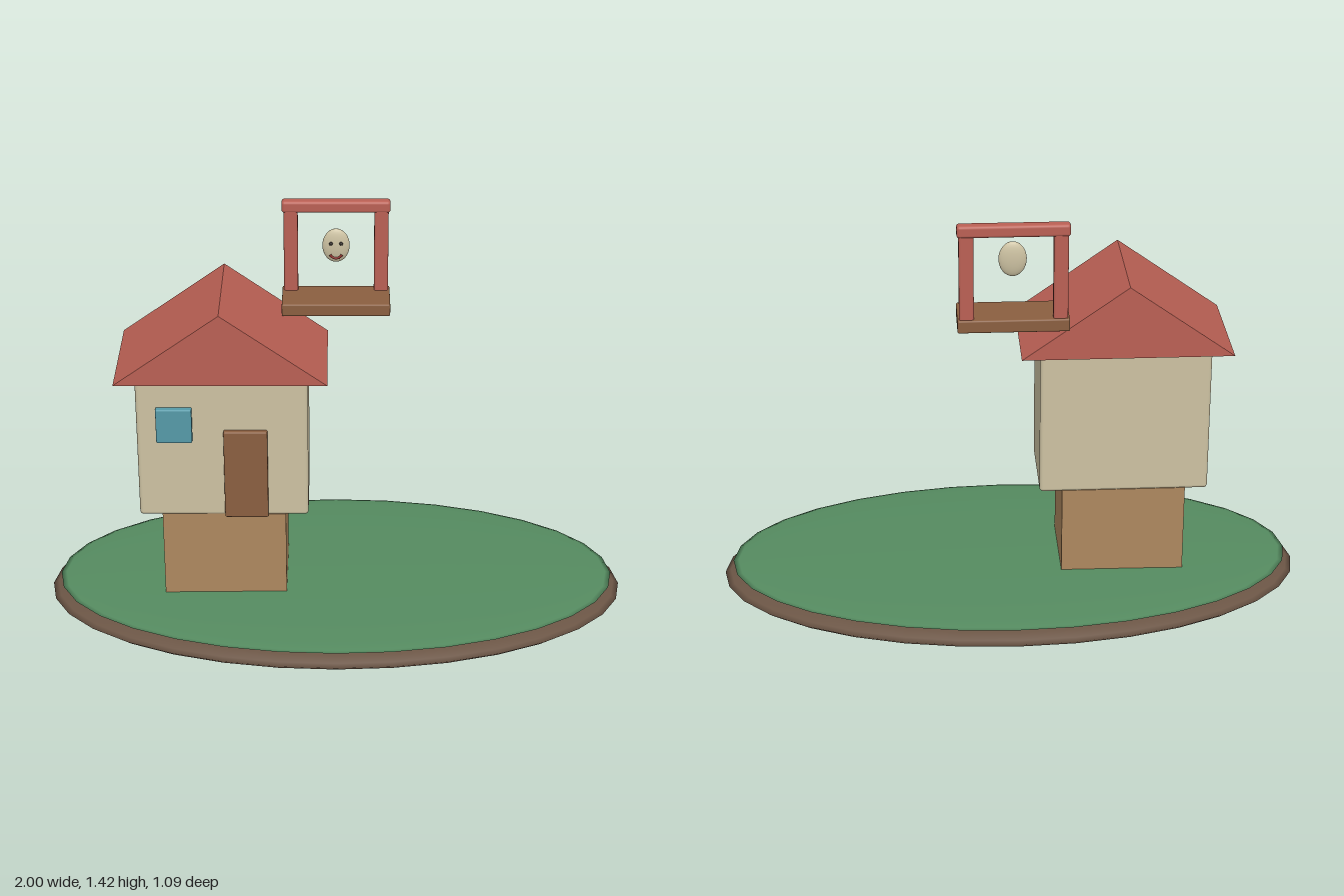
import * as THREE from 'three';
import { RoundedBoxGeometry } from 'three/addons/geometries/RoundedBoxGeometry.js';

const paint = (name, color) => {
  const m = new THREE.MeshStandardMaterial({ color });
  m.name = name;
  return m;
};

export function createModel() {
  const model = new THREE.Group();
  const soil = paint('soil brown', 0x6b5545);
  const grass = paint('grass green', 0x558b60);
  const timber = paint('light timber', 0xae885f);
  const plaster = paint('cream plaster', 0xcdc2a2);
  const red = paint('roof red', 0xba6054);
  const wood = paint('door wood', 0x8a5f40);
  const glass = paint('window blue', 0x559aa8);
  const dark = paint('eye dark', 0x2a2420);
  const lip = paint('mouth red', 0x8c332e);

  const add = (name, geometry, material, x, y, z, parent = model) => {
    const mesh = new THREE.Mesh(geometry, material);
    mesh.name = name;
    mesh.position.set(x, y, z);
    parent.add(mesh);
    return mesh;
  };
  // box given by its limits, with optionally rounded edges
  const box = (name, material, [x0, x1], [y0, y1], [z0, z1], r = 0, parent = model) => {
    const size = [x1 - x0, y1 - y0, z1 - z0];
    const geometry = r ? new RoundedBoxGeometry(...size, 3, r) : new THREE.BoxGeometry(...size);
    return add(name, geometry, material, (x0 + x1) / 2, (y0 + y1) / 2, (z0 + z1) / 2, parent);
  };
  const ellipsoid = (name, material, radii, x, y, z, parent = model) =>
    add(name, new THREE.SphereGeometry(1, 32, 16).scale(...radii), material, x, y, z, parent);

  // floating ground
  ellipsoid('soil', soil, [1, 0.06, 0.545], 0, 0.06, 0);
  ellipsoid('grass', grass, [0.97, 0.018, 0.525], 0, 0.105, 0);

  // house
  const house = new THREE.Group();
  house.name = 'house';
  model.add(house);
  box('foundation', timber, [-0.59, -0.17], [0.08, 0.43], [-0.157, 0.157], 0, house);
  box('walls', plaster, [-0.667, -0.093], [0.425, 0.947], [-0.157, 0.157], 0.013, house);
  box('door', wood, [-0.376, -0.229], [0.427, 0.752], [0.14, 0.177], 0.006, house);
  box('window', glass, [-0.6, -0.48], [0.712, 0.836], [0.14, 0.18], 0.005, house);

  // gable roof
  const gable = new THREE.Shape([
    new THREE.Vector2(-0.352, 0), new THREE.Vector2(0.352, 0), new THREE.Vector2(0, 0.25),
  ]);
  const roof = new THREE.ExtrudeGeometry(gable, { depth: 0.434, bevelEnabled: false });
  add('roof', roof, red, -0.38, 0.945, -0.217, house);

  // balcony with an open frame
  const balcony = new THREE.Group();
  balcony.name = 'balcony';
  model.add(balcony);
  box('balconyFloor', wood, [-0.183, 0.183], [1.058, 1.102], [-0.246, -0.083], 0.006, balcony);
  for (const side of [-1, 1]) {
    const x = side * 0.153;
    box('balconyPost', red, [x - 0.024, x + 0.024], [1.095, 1.4], [-0.238, -0.202], 0.008, balcony);
  }
  box('balconyBeam', red, [-0.183, 0.183], [1.384, 1.425], [-0.241, -0.2], 0.01, balcony);

  // smiling face
  const face = new THREE.Group();
  face.name = 'face';
  face.position.set(0, 1.284, -0.165);
  model.add(face);
  ellipsoid('head', plaster, [0.046, 0.06, 0.016], 0, 0, 0, face);
  for (const side of [-1, 1]) {
    add('eye', new THREE.SphereGeometry(0.0065, 12, 8), dark, side * 0.017, 0.011, 0.0145, face);
  }
  const smile = new THREE.TorusGeometry(0.021, 0.0042, 8, 16, Math.PI * 0.8).rotateZ(Math.PI * 1.1);
  add('mouth', smile, lip, 0, -0.021, 0.0135, face);

  return model;
}
